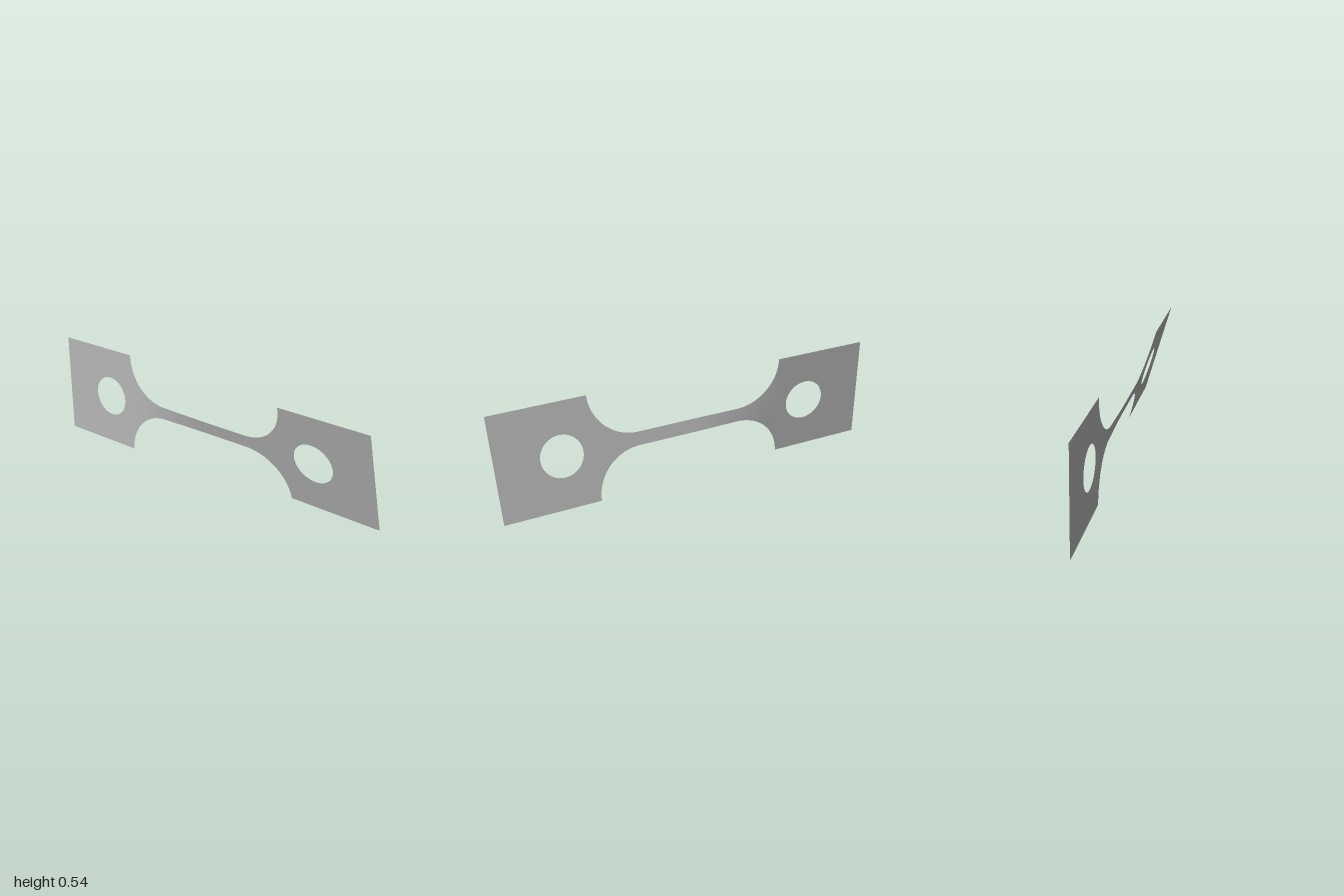
import * as THREE from 'three';

const HALF_HEIGHT = 0.2715; // half height of the end tabs
const NECK = 0.035;         // half height of the narrow bar
const TAB_EDGE = 0.508;     // where each tab meets its fillet
const RADIUS = HALF_HEIGHT - NECK;

// Half height of the middle strip: straight bar with round fillets
function halfHeight(x) {
  const d = Math.min(Math.max(Math.abs(x) - (TAB_EDGE - RADIUS), 0), RADIUS);
  return HALF_HEIGHT - Math.sqrt(RADIUS * RADIUS - d * d);
}

// Turns each vertex about the long axis, from almost upright to leaning forward
function twist(geometry) {
  const p = geometry.attributes.position;
  for (let i = 0; i < p.count; i++) {
    const x = p.getX(i), y = p.getY(i);
    const angle = THREE.MathUtils.degToRad(0.8 + 15.2 * THREE.MathUtils.smoothstep(x, -0.55, 0.05));
    p.setXYZ(i, x, HALF_HEIGHT + y * Math.cos(angle), y * Math.sin(angle));
  }
  geometry.computeVertexNormals();
  return geometry;
}

// Square end tab with a round hole
function tabGeometry(side) {
  const a = Math.min(side, side * TAB_EDGE), b = Math.max(side, side * TAB_EDGE);
  const shape = new THREE.Shape();
  shape.moveTo(a, -HALF_HEIGHT);
  shape.lineTo(b, -HALF_HEIGHT);
  shape.lineTo(b, HALF_HEIGHT);
  shape.lineTo(a, HALF_HEIGHT);
  shape.closePath();
  const hole = new THREE.Path();
  hole.absarc(side * 0.67, 0, 0.108, 0, Math.PI * 2, true);
  shape.holes.push(hole);
  return twist(new THREE.ShapeGeometry(shape, 32));
}

// Narrow bar and its fillets, with columns bunched towards the tabs
function barGeometry() {
  const geometry = new THREE.PlaneGeometry(2, 2, 120, 8);
  const p = geometry.attributes.position;
  for (let i = 0; i < p.count; i++) {
    const x = TAB_EDGE * Math.sin(p.getX(i) * Math.PI / 2);
    p.setXY(i, x, p.getY(i) * halfHeight(x));
  }
  return twist(geometry);
}

export function createModel() {
  const group = new THREE.Group();
  group.name = 'twistedTestStrip';
  const metal = new THREE.MeshStandardMaterial({ color: 0xb8b8b8, side: THREE.DoubleSide });
  metal.name = 'greyMetal';

  const add = (name, geometry) => {
    const mesh = new THREE.Mesh(geometry, metal);
    mesh.name = name;
    group.add(mesh);
  };
  add('leftTab', tabGeometry(1));
  add('rightTab', tabGeometry(-1));
  add('narrowBar', barGeometry());
  return group;
}
